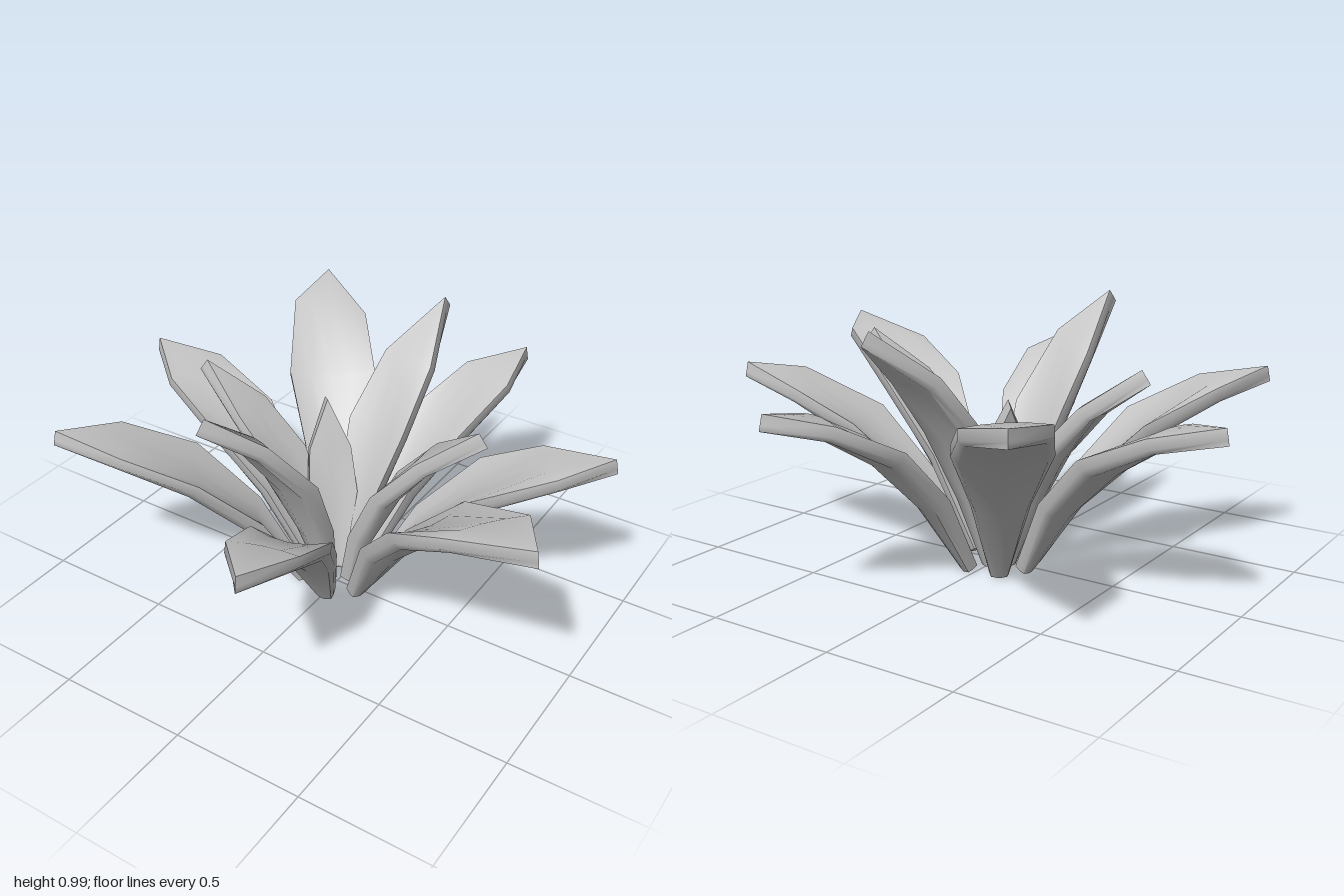
import * as THREE from 'three';
import { toCreasedNormals } from 'three/addons/utils/BufferGeometryUtils.js';

// Leaf stations from root to tip: reach and height as fractions
const SPREADING = { root: 0.14, reach: [0, 0.21, 0.46, 0.745, 1], rise: [0, 0.42, 0.73, 0.935, 1] };
const STEEP = { root: 0.05, reach: [0, 0.14, 0.35, 0.63, 1], rise: [0, 0.29, 0.58, 0.82, 1] };
const UPRIGHT = { root: 0.05, reach: [0, 0.16, 0.38, 0.66, 1], rise: [0, 0.22, 0.47, 0.73, 1] };
const WIDTH = [0.21, 0.62, 1, 0.85, 0];
// Hollow near the root, slightly arched near the tip
const CUP = [0.28, 0.28, 0.2, -0.08, 0];
// Cross-section: position across, and side of the leaf (1 top, -1 underside)
const SECTION = [
  [-1, 1], [-0.5, 1], [0, 1], [0.5, 1], [1, 1],
  [1, -0.3], [0.84, -1], [0, -1], [-0.84, -1], [-1, -0.3],
];
const HUB = { x: -0.02, z: -0.03 };

// A thick leaf lofted from the hub to a pointed tip; skew slants its broad shoulder
function leafGeometry([tx, ty, tz, width, skew], profile) {
  const angle = Math.atan2(tz - HUB.z, tx - HUB.x);
  const cos = Math.cos(angle), sin = Math.sin(angle);
  const length = Math.hypot(tx - HUB.x, tz - HUB.z);
  const y0 = 0.02;
  const spine = profile.reach.map((f, i) => new THREE.Vector2(
    profile.root + (length - profile.root) * f,
    y0 + (ty - y0) * profile.rise[i]));

  const positions = [], index = [];
  const last = spine.length - 1, ring = SECTION.length;
  spine.forEach((p, i) => {
    const tangent = spine[Math.min(i + 1, last)].clone().sub(spine[Math.max(i - 1, 0)]).normalize();
    const half = width * WIDTH[i];
    const thick = i === 0 ? 0.02 : 0.03;
    for (const [u, side] of SECTION) {
      const lift = side * thick + half * CUP[i] * (u * u - 0.4);
      const slide = i === last - 1 ? skew * u : 0;
      const r = p.x - tangent.y * lift + tangent.x * slide;
      const y = Math.max(0, p.y + tangent.x * lift + tangent.y * slide);
      const s = u * half;
      positions.push(HUB.x + cos * r - sin * s, y, HUB.z + sin * r + cos * s);
    }
  });
  for (let i = 0; i < last; i++) {
    for (let j = 0; j < ring; j++) {
      const k = (j + 1) % ring;
      const a = i * ring + j, b = i * ring + k, c = a + ring, d = b + ring;
      index.push(a, b, c);
      // the tip has no width, so only rim faces keep both triangles there
      if (i < last - 1 || SECTION[j][1] !== SECTION[k][1]) index.push(b, d, c);
    }
  }
  for (let j = 1; j < ring - 1; j++) index.push(0, j + 1, j); // root cap

  const geometry = new THREE.BufferGeometry();
  geometry.setAttribute('position', new THREE.Float32BufferAttribute(positions, 3));
  geometry.setIndex(index);
  return toCreasedNormals(geometry, 1.0);
}

export function createModel() {
  const group = new THREE.Group();
  group.name = 'leafRosette';
  const leafGrey = new THREE.MeshStandardMaterial({ color: 0xc6c6c6 });
  leafGrey.name = 'leafGrey';

  // Each leaf: tip x, y, z, half width, skew
  const outer = [
    [-0.65, 0.80, -0.93, 0.172, -0.04],
    [0.32, 0.705, -0.92, 0.14, 0],
    [0.95, 0.705, -0.34, 0.155, 0.045],
    [0.995, 0.80, 0.41, 0.165, -0.06],
    [0.23, 0.715, 0.925, 0.15, 0],
    [-0.81, 0.725, 0.62, 0.15, 0],
    [-1.0, 0.69, -0.19, 0.158, 0],
  ];
  const inner = [
    [0.07, 0.97, -0.68, 0.128, 0],
    [0.57, 0.84, -0.04, 0.102, 0],
    [-0.16, 0.97, 0.58, 0.122, -0.04],
    [-0.61, 0.80, 0.0, 0.105, 0],
  ];
  const centre = [[-0.18, 0.69, -0.2, 0.095, 0]];

  const addLeaves = (list, profile, name) => list.forEach((leaf, i) => {
    const mesh = new THREE.Mesh(leafGeometry(leaf, profile), leafGrey);
    mesh.name = `${name}${i + 1}`;
    group.add(mesh);
  });
  addLeaves(outer, SPREADING, 'outerLeaf');
  addLeaves(inner, STEEP, 'innerLeaf');
  addLeaves(centre, UPRIGHT, 'centreLeaf');
  return group;
}
